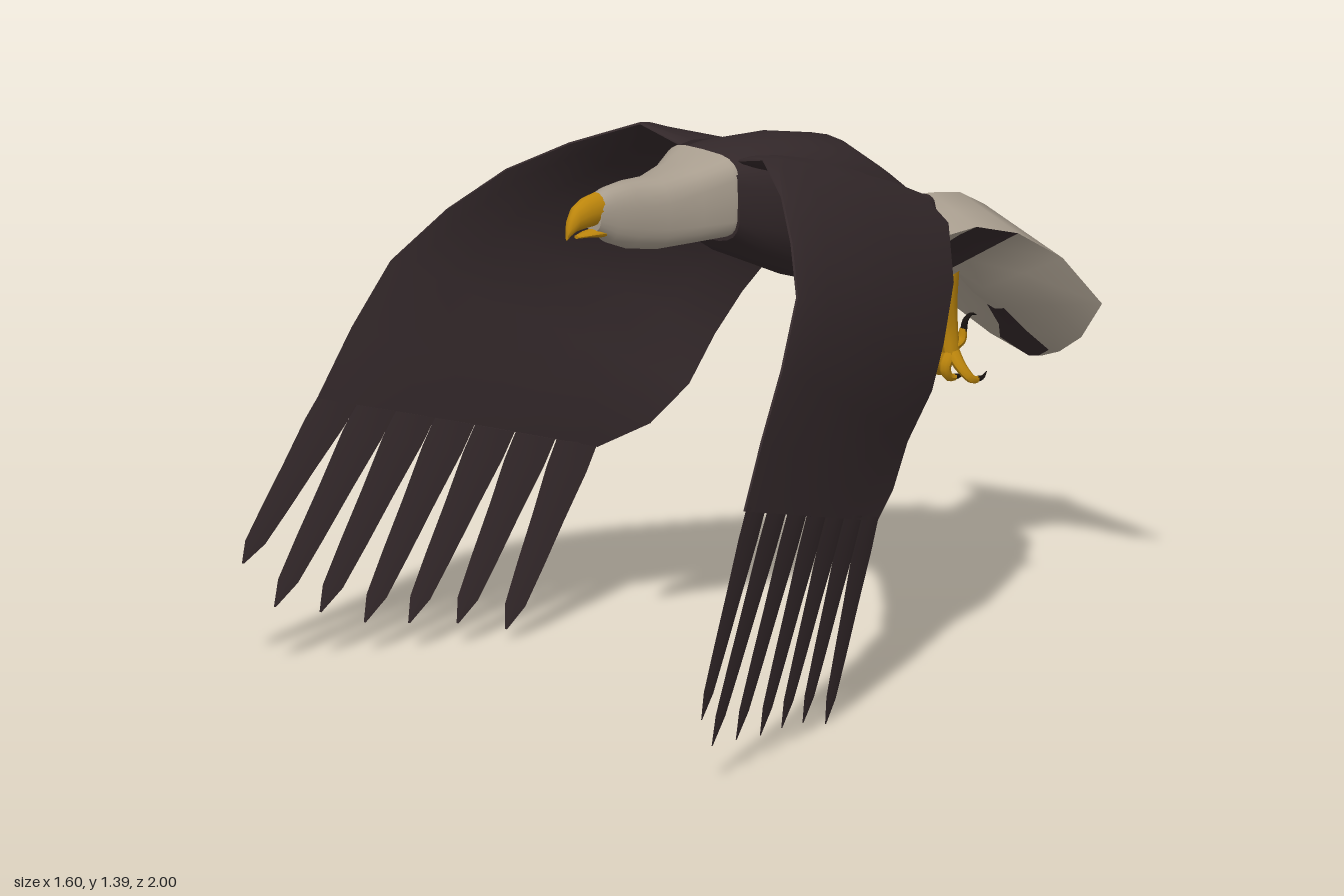
import * as THREE from 'three';
import { toCreasedNormals } from 'three/addons/utils/BufferGeometryUtils.js';

const V = (x, y, z) => new THREE.Vector3(x, y, z);
const material = (name, color) => {
  const m = new THREE.MeshStandardMaterial({ color });
  m.name = name;
  return m;
};

// Skin a list of closed rings, cap both ends, face outwards; slot(row, col) picks the material
function loft(rings, slot = () => 0, crease = 0.9) {
  const n = rings[0].length, pts = rings.flat(), faces = [[], []];
  for (let r = 0; r < rings.length - 1; r++) {
    for (let c = 0; c < n; c++) {
      const a = r * n + c, b = r * n + (c + 1) % n;
      faces[slot(r, c)].push([a, b, a + n], [b, b + n, a + n]);
    }
  }
  const last = (rings.length - 1) * n;
  rings.forEach((ring, r) => {
    if (r > 0 && r < rings.length - 1) return;
    const mid = pts.push(ring.reduce((s, p) => s.add(p), V(0, 0, 0)).divideScalar(n)) - 1;
    for (let c = 0; c < n; c++) {
      const d = (c + 1) % n;
      faces[0].push(r ? [last + c, last + d, mid] : [d, c, mid]);
    }
  });
  // signed volume tells whether the corners run the right way
  const volume = faces.flat().reduce((s, [a, b, c]) => s + pts[a].dot(pts[b].clone().cross(pts[c])), 0);
  const ordered = faces.map(f => f.flatMap(([a, b, c]) => volume < 0 ? [a, c, b] : [a, b, c]));
  const geo = new THREE.BufferGeometry().setFromPoints(pts);
  geo.setIndex(ordered.flat());
  geo.addGroup(0, ordered[0].length, 0);
  if (ordered[1].length) geo.addGroup(ordered[0].length, ordered[1].length, 1);
  return toCreasedNormals(geo, crease);
}

// Rounded cross-section at z, between two heights; a low power makes it squarer
function oval([z, top, bottom, half, cx, power = 0.85], n = 24) {
  const bend = v => Math.sign(v) * Math.abs(v) ** power;
  return Array.from({ length: n }, (_, i) => {
    const a = (i / n) * Math.PI * 2;
    return V(cx + half * bend(Math.cos(a)), (top + bottom) / 2 + (top - bottom) / 2 * bend(Math.sin(a)), z);
  });
}

// Tube along points whose radius runs through the given list
function taper(points, radii, steps = 10) {
  const curve = new THREE.CatmullRomCurve3(points.map(p => V(...p)));
  const geo = new THREE.TubeGeometry(curve, steps, 1, 8);
  const pos = geo.attributes.position, p = V(0, 0, 0);
  for (let i = 0; i < pos.count; i++) {
    const u = Math.floor(i / 9) / steps, k = u * (radii.length - 1), j = Math.min(Math.floor(k), radii.length - 2);
    const radius = THREE.MathUtils.lerp(radii[j], radii[j + 1], k - j), c = curve.getPointAt(u);
    p.fromBufferAttribute(pos, i).sub(c).multiplyScalar(radius).add(c);
    pos.setXYZ(i, p.x, p.y, p.z);
  }
  geo.computeVertexNormals();
  return geo;
}

// Wing rows: leading edge point, trailing edge point; then the feather tips
const WINGS = {
  leftWing: {
    rows: [[.14, 1.355, .17, .18, 1.14, -.46], [.24, 1.38, .185, .29, 1.09, -.44], [.38, 1.33, .265, .36, .96, -.385],
      [.505, 1.25, .36, .415, .83, -.29], [.615, 1.15, .455, .45, .73, -.21], [.685, 1, .585, .46, .62, -.11],
      [.715, .84, .69, .495, .52, -.02], [.74, .68, .78, .545, .47, .09]],
    tips: [[.8, .19, 1], [.77, .1, .93], [.74, .085, .81], [.71, .065, .69], [.68, .055, .58], [.64, .035, .46], [.605, 0, .34]],
  },
  rightWing: {
    rows: [[-.06, 1.355, .17, -.08, 1.14, -.46], [-.19, 1.39, .185, -.18, 1.06, -.43], [-.36, 1.32, .265, -.245, .93, -.37],
      [-.49, 1.245, .36, -.285, .83, -.29], [-.6, 1.14, .46, -.305, .73, -.21], [-.688, 1.01, .575, -.3, .62, -.11],
      [-.72, .85, .685, -.35, .525, -.02], [-.748, .68, .78, -.43, .47, .09]],
    tips: [[-.8, .28, 1], [-.755, .16, .93], [-.71, .13, .81], [-.66, .09, .7], [-.61, .075, .59], [-.555, .06, .47], [-.5, .03, .35]],
  },
};

function buildWing(name, { rows, tips }, brown) {
  const wing = new THREE.Group();
  wing.name = name;
  const side = name === 'leftWing' ? 1 : -1;
  const lead = rows.map(r => V(r[0], r[1], r[2])), trail = rows.map(r => V(r[3], r[4], r[5]));
  const end = rows.length - 1;
  const outward = i => {
    const a = Math.max(i - 1, 0), b = Math.min(i + 1, end);
    const span = lead[b].clone().add(trail[b]).sub(lead[a]).sub(trail[a]);
    const normal = span.cross(trail[i].clone().sub(lead[i])).normalize();
    return normal.dot(V(side, 1, 0)) < 0 ? normal.negate() : normal;
  };
  const at = (i, t, offset) => lead[i].clone().lerp(trail[i], t)
    .addScaledVector(outward(i), 0.016 * Math.sin(Math.PI * t) + offset);
  const ts = [0, .06, .18, .35, .5, .65, .82, 1];
  const thick = (i, t) => (0.022 - 0.0025 * i) * Math.sin(Math.PI * t ** 0.6) + 0.003;
  const rings = rows.map((_, i) => [
    ...ts.map(t => at(i, t, thick(i, t))),
    ...ts.slice().reverse().map(t => at(i, t, -thick(i, t))),
  ]);
  const panel = new THREE.Mesh(loft(rings), brown);
  panel.name = 'wingPanel';
  wing.add(panel);
  // separated flight feathers along the end of the wing
  const chord = trail[end].clone().sub(lead[end]), normal = outward(end);
  tips.forEach((tip, k) => {
    const base = at(end, (k + 0.5) / tips.length, 0);
    const blade = [[-.02, 1], [.14, .99], [.4, .8], [.65, .66], [.87, .5], [1, .05]].map(([f, w]) => {
      const c = base.clone().lerp(V(...tip), f), h = w / tips.length / 2;
      const flat = 0.005 * w;
      return [c.clone().addScaledVector(chord, -h), c.clone().addScaledVector(normal, flat),
        c.clone().addScaledVector(chord, h), c.clone().addScaledVector(normal, -flat)];
    });
    const feather = new THREE.Mesh(loft(blade), brown);
    feather.name = 'flightFeather';
    wing.add(feather);
  });
  return wing;
}

export function createModel() {
  const model = new THREE.Group();
  model.name = 'flyingEagle';
  const brown = material('darkBrown', 0x33282a), pale = material('paleGrey', 0xa99e8f);
  const yellow = material('ochreYellow', 0xbd860c), black = material('clawBlack', 0x17120f);
  const add = (name, geo, mat, parent = model) => {
    const mesh = new THREE.Mesh(geo, mat);
    mesh.name = name;
    parent.add(mesh);
    return mesh;
  };

  // Body, head and beak
  add('body', loft([[.19, 1.358, 1.135, .135, .03, .6], [.1, 1.37, 1.07, .158, .04, .75], [-.08, 1.357, .985, .163, .045, .8],
    [-.25, 1.317, .925, .16, .05, .8], [-.38, 1.222, .885, .152, .055, .75], [-.48, 1.14, .862, .138, .06, .75],
    [-.54, 1.1, .87, .105, .06, .8], [-.61, 1.085, 1, .035, .055]].map(s => oval(s))), brown);
  add('head', loft([[.185, 1.366, 1.148, .128, .03, .5], [.2, 1.362, 1.148, .125, .03, .5], [.28, 1.345, 1.145, .092, .032, .6],
    [.38, 1.335, 1.147, .068, .031, .75], [.47, 1.343, 1.165, .055, .03], [.54, 1.34, 1.195, .043, .03],
    [.59, 1.328, 1.235, .031, .03]].map(s => oval(s))), pale);
  add('upperBeak', loft([[.575, 1.335, 1.25, .033, .03, 1], [.62, 1.33, 1.25, .028, .03, 1], [.655, 1.315, 1.248, .021, .03, 1],
    [.675, 1.29, 1.238, .013, .03, 1], [.685, 1.262, 1.23, .005, .03, 1]].map(s => oval(s, 14))), yellow);
  add('lowerBeak', loft([[.55, 1.243, 1.212, .028, .03, 1], [.61, 1.24, 1.224, .02, .03, 1], [.65, 1.237, 1.228, .007, .03, 1]]
    .map(s => oval(s, 12))), yellow);

  for (const [name, data] of Object.entries(WINGS)) model.add(buildWing(name, data, brown));

  // Tail fan: each row is top y,z / edge half-width,y,z / underside y,z / half-width of the dark underside strip
  const tailRows = [[1.065, -.53, .12, 1.01, -.525, .89, -.55, .05], [1.087, -.62, .155, 1.025, -.63, .94, -.62, .05],
    [1.065, -.73, .2, .995, -.735, .87, -.7, .05], [1.015, -.82, .27, .925, -.825, .79, -.78, .03],
    [.91, -.875, .355, .81, -.88, .73, -.86, .03], [.77, -.935, .23, .685, -.935, .66, -.925, .05],
    [.665, -.975, .12, .618, -.97, .61, -.965, .085], [.59, -1, .04, .587, -.99, .58, -.985, .03]];
  const tailRings = tailRows.map(([ty, tz, w, ey, ez, by, bz, strip]) => {
    const top = V(0, ty, tz), edge = V(w, ey, ez), low = V(0, by, bz), f = strip / w;
    const half = [top.clone().lerp(edge, .5), edge, low.clone().lerp(edge, (1 + f) / 2), low.clone().lerp(edge, f)];
    const other = half.map(p => V(-p.x, p.y, p.z)).reverse();
    return [top, ...half, low, ...other].map(p => p.clone().add(V(.055, 0, 0)));
  });
  const tailSlot = (r, c) => ((r === 1 && c >= 2 && c <= 7) || (r >= 4 && (c === 4 || c === 5)) ? 1 : 0);
  add('tail', loft(tailRings, tailSlot), [pale, brown]);
  const spot = add('tailSpot', new THREE.CircleGeometry(1, 16), brown);
  spot.scale.set(.02, .042, 1);
  spot.position.set(.055, .967, -.854);
  spot.lookAt(.055, .967 + .48, -.854 - .88);

  // Legs, toes and talons, mirrored about the body line
  for (const s of [1, -1]) {
    const leg = new THREE.Group();
    leg.name = s > 0 ? 'leftLeg' : 'rightLeg';
    const put = p => [.055 + s * p[0], p[1], p[2]];
    add('shank', taper([[.1, .91, -.545], [.11, .84, -.545], [.127, .76, -.556], [.135, .69, -.56]].map(put),
      [.055, .043, .025, .021]), yellow, leg);
    for (const [x, z] of [[.19, -.56], [.135, -.535], [.075, -.555]]) {
      const m = .135 + (x - .135) * .6;
      add('toe', taper([[.135, .71, -.56], [m, .672, z], [x, .643, z - .015], [x, .638, z - .035]].map(put),
        [.019, .016, .013, .009]), yellow, leg);
      add('talon', taper([[x, .639, z - .03], [x, .64, z - .055], [x, .652, z - .07]].map(put),
        [.009, .006, .001]), black, leg);
    }
    add('backToe', taper([[.135, .72, -.56], [.142, .735, -.587], [.145, .765, -.592]].map(put), [.016, .013, .009]), yellow, leg);
    add('backTalon', taper([[.145, .755, -.592], [.147, .785, -.598], [.147, .797, -.618], [.147, .79, -.638]].map(put),
      [.009, .008, .005, .001]), black, leg);
    model.add(leg);
  }
  return model;
}
